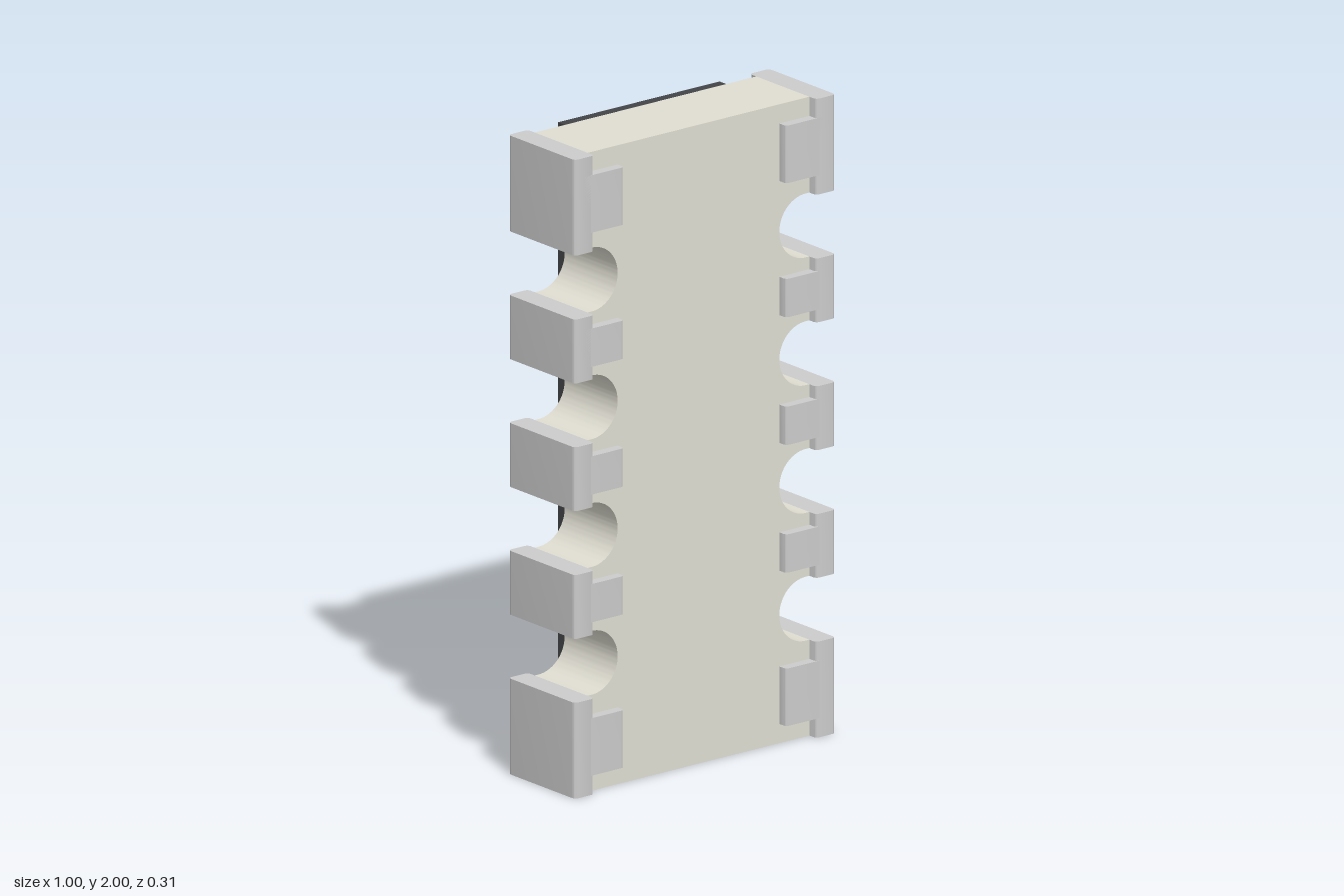
import * as THREE from 'three';
import { toCreasedNormals } from 'three/addons/utils/BufferGeometryUtils.js';

const HALF_DEPTH = 0.157; // overall half thickness
const CORE = 0.125;       // ceramic half thickness
const NECK = 0.425;       // ceramic half width
const TIP = 0.31;         // inner end of the terminal flanges

// Rectangle outline with each corner rounded by its own radius (bl, br, tr, tl)
function roundedRect(x0, y0, x1, y1, [bl, br, tr, tl]) {
  const s = new THREE.Shape();
  const corner = (cx, cy, r, a) => {
    if (r) s.absarc(cx, cy, r, a, a + Math.PI / 2, false);
    else s.lineTo(cx, cy);
  };
  s.moveTo(x0 + bl, y0);
  corner(x1 - br, y0 + br, br, -Math.PI / 2);
  corner(x1 - tr, y1 - tr, tr, 0);
  corner(x0 + tl, y1 - tl, tl, Math.PI / 2);
  corner(x0 + bl, y0 + bl, bl, Math.PI);
  return s;
}

// Extrude an outline drawn in (x, -z) upward from y0 to y1
function riser(shape, y0, y1) {
  const g = new THREE.ExtrudeGeometry(shape, { depth: y1 - y0, bevelEnabled: false, curveSegments: 5 });
  g.rotateX(-Math.PI / 2);
  g.translate(0, y0, 0);
  return toCreasedNormals(g, 0.6);
}

export function createModel() {
  const model = new THREE.Group();
  const ceramic = new THREE.MeshStandardMaterial({ color: 0xe0ded2 });
  const metal = new THREE.MeshStandardMaterial({ color: 0xcfd0cc });
  const dark = new THREE.MeshStandardMaterial({ color: 0x434447 });
  const add = (parent, name, geometry, material) => {
    const mesh = new THREE.Mesh(geometry, material);
    mesh.name = name;
    parent.add(mesh);
  };

  // Ceramic body with four round notches down each edge
  const notches = [0.4, 0.8, 1.2, 1.6];
  const r = 0.1, cx = TIP + r;
  const outline = new THREE.Shape();
  outline.moveTo(-NECK, 0);
  outline.lineTo(NECK, 0);
  for (const y of notches) {
    outline.lineTo(NECK, y - r);
    outline.absarc(cx, y, r, -Math.PI / 2, -Math.PI * 1.5, true);
    outline.lineTo(NECK, y + r);
  }
  outline.lineTo(NECK, 2);
  outline.lineTo(-NECK, 2);
  for (const y of [...notches].reverse()) {
    outline.lineTo(-NECK, y + r);
    outline.absarc(-cx, y, r, Math.PI / 2, -Math.PI / 2, true);
    outline.lineTo(-NECK, y - r);
  }
  const body = new THREE.ExtrudeGeometry(outline, { depth: 2 * CORE, bevelEnabled: false, curveSegments: 24 });
  body.translate(0, 0, -CORE);
  add(model, 'ceramicBody', toCreasedNormals(body, 0.6), ceramic);

  // Dark protective coating on the back
  const coating = new THREE.BoxGeometry(2 * TIP, 2, HALF_DEPTH - CORE);
  coating.translate(0, 1, -(HALF_DEPTH + CORE) / 2);
  add(model, 'backCoating', coating, dark);

  // Wrap-around terminals: [bottom, top, flange inset]
  const rows = [[0, 0.3, 0.06], [0.5, 0.7, 0.04], [0.9, 1.1, 0.04], [1.3, 1.5, 0.04], [1.7, 2, 0.06]];
  const c = 0.013;
  for (const side of [1, -1]) {
    rows.forEach(([y0, y1, inset], i) => {
      const terminal = new THREE.Group();
      terminal.name = `${side > 0 ? 'left' : 'right'}Terminal${i + 1}`;
      // End block
      add(terminal, 'endBlock', riser(roundedRect(NECK, -HALF_DEPTH, 0.5, HALF_DEPTH, [c, c, c, c]), y0, y1), metal);
      // Flanges folded onto the front and back faces
      add(terminal, 'frontFlange', riser(roundedRect(TIP, -HALF_DEPTH, 0.46, -CORE, [c, 0, 0, 0]), y0 + inset, y1 - inset), metal);
      add(terminal, 'backFlange', riser(roundedRect(TIP, CORE, 0.46, HALF_DEPTH, [0, 0, 0, c]), y0 + inset, y1 - inset), metal);
      // The terminals are symmetric front to back, so a half turn mirrors them
      if (side < 0) terminal.rotation.y = Math.PI;
      model.add(terminal);
    });
  }
  return model;
}
